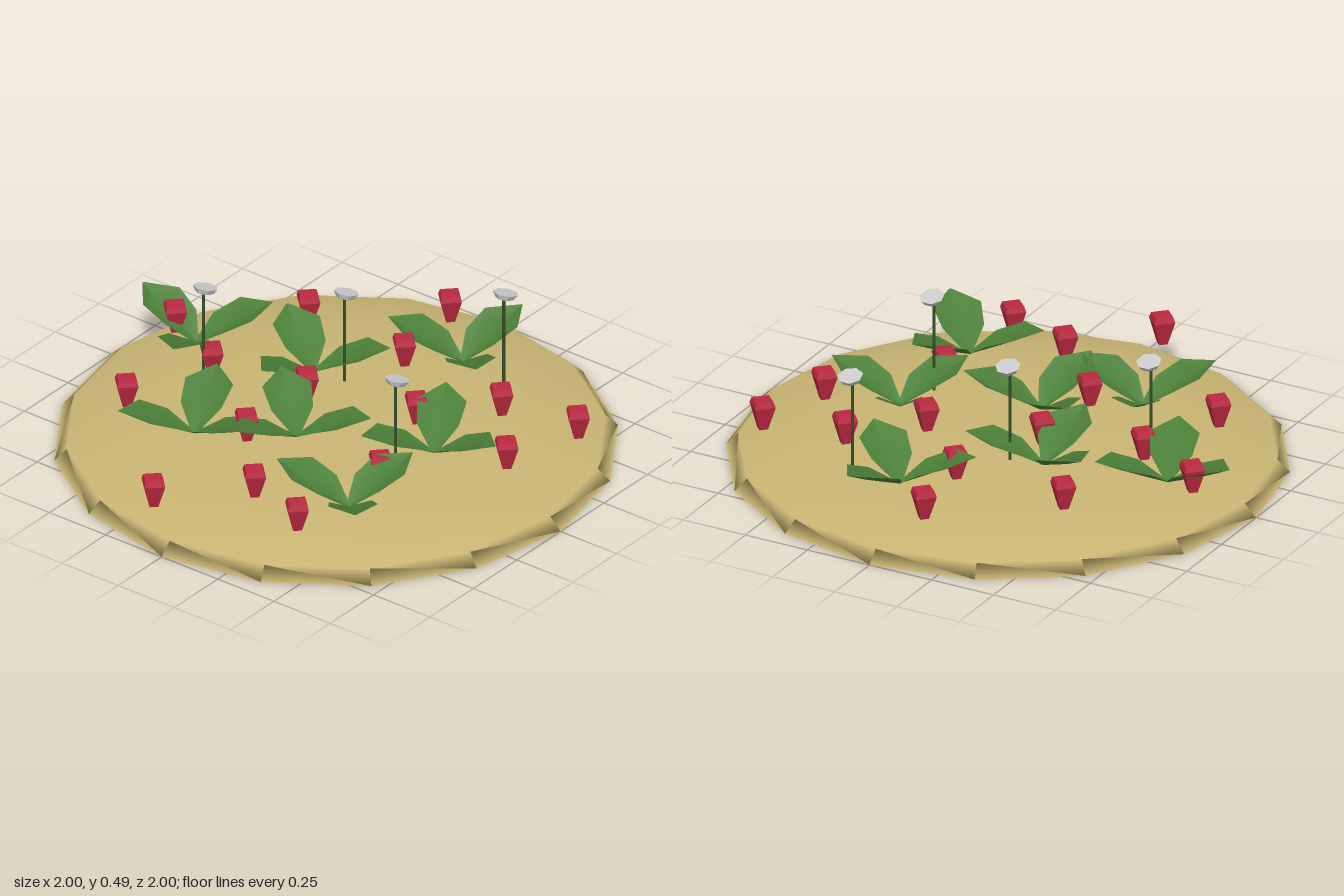
import * as THREE from 'three';

const GROUND = 0.11;
const material = (color, extra = {}) => new THREE.MeshStandardMaterial({ color, ...extra });

// Cupped leaf pointing along +x: a low rib between two raised edges.
function leafGeometry() {
  // distance along leaf, half width, rib height, edge height
  const rows = [
    [0, 0.012, 0, 0.005],
    [0.08, 0.075, 0.035, 0.07],
    [0.18, 0.088, 0.08, 0.112],
    [0.275, 0.003, 0.128, 0.128],
  ];
  const points = [], index = [];
  rows.forEach(([x, w, rib, edge], i) => {
    points.push(x, edge, -w, x, rib, 0, x, edge, w);
    if (i === 0) return;
    for (let j = 0; j < 2; j++) {
      const a = (i - 1) * 3 + j, b = a + 3;
      index.push(a, a + 1, b, b, a + 1, b + 1);
    }
  });
  const g = new THREE.BufferGeometry();
  g.setAttribute('position', new THREE.Float32BufferAttribute(points, 3));
  g.setIndex(index);
  g.computeVertexNormals();
  return g;
}

const lathe = (profile, sides) =>
  new THREE.LatheGeometry(profile.map(([r, y]) => new THREE.Vector2(r, y)), sides);

export function createModel() {
  const model = new THREE.Group();
  const add = (parent, name, geometry, mat) => {
    const mesh = new THREE.Mesh(geometry, mat);
    mesh.name = name;
    parent.add(mesh);
    return mesh;
  };

  // Sandy mound with a bevelled rim and a flat underside
  add(model, 'mound',
    lathe([[0, 0], [1, 0], [0.955, 0.045], [0.67, 0.103], [0.35, 0.11], [0, 0.112]], 16),
    material(0xc9b573));

  // Three-leaved plants: x, z, angle of the first leaf in degrees
  const leafGeo = leafGeometry();
  const leafMat = material(0x4b7f38, { side: THREE.DoubleSide });
  const plants = [
    [0.12, -0.57, 78], [-0.25, -0.19, 27], [-0.70, -0.10, 51], [0.43, -0.01, -1],
    [-0.02, 0.20, 19], [-0.32, 0.40, -9], [0.42, 0.47, 73],
  ];
  for (const [x, z, angle] of plants) {
    const plant = new THREE.Group();
    plant.name = 'plant';
    plant.position.set(x, GROUND, z);
    for (let k = 0; k < 3; k++) {
      add(plant, 'leaf', leafGeo, leafMat).rotation.y =
        THREE.MathUtils.degToRad(angle + 120 * k);
    }
    model.add(plant);
  }

  // Four-sided berries, narrow at the foot
  const berryGeo = lathe([[0, 0], [0.022, 0], [0.053, 0.09], [0.045, 0.11], [0, 0.112]], 4)
    .toNonIndexed();
  berryGeo.computeVertexNormals();
  const berryMat = material(0xbb2940, { flatShading: true });
  const berries = [
    [-0.09, -0.77], [-0.48, -0.46], [-0.03, -0.43], [0.45, -0.37], [0.76, -0.41],
    [0.69, -0.09], [0.25, -0.14], [-0.16, -0.04], [-0.53, 0.03], [-0.81, -0.12],
    [-0.63, 0.39], [-0.15, 0.32], [0.11, 0.61], [0.37, 0.70], [0.40, 0.26], [-0.13, 0.88],
  ];
  for (const [x, z] of berries) {
    add(model, 'berry', berryGeo, berryMat).position.set(x, GROUND, z);
  }

  // White flowers tilted back on thin stems
  const stemGeo = new THREE.CylinderGeometry(0.006, 0.006, 0.35, 5);
  const headGeo = new THREE.CylinderGeometry(0.046, 0.034, 0.02, 7);
  const stemMat = material(0x35522a);
  const headMat = material(0xe2e2e2, { flatShading: true });
  for (const [x, z] of [[0.32, -0.55], [-0.125, -0.21], [-0.54, 0.065], [0.385, 0.155]]) {
    const flower = new THREE.Group();
    flower.name = 'flower';
    flower.position.set(x, GROUND, z);
    add(flower, 'stem', stemGeo, stemMat).position.y = 0.175;
    const head = add(flower, 'flowerHead', headGeo, headMat);
    head.position.set(0.007, 0.355, 0);
    head.rotation.x = -0.25;
    model.add(flower);
  }
  return model;
}
